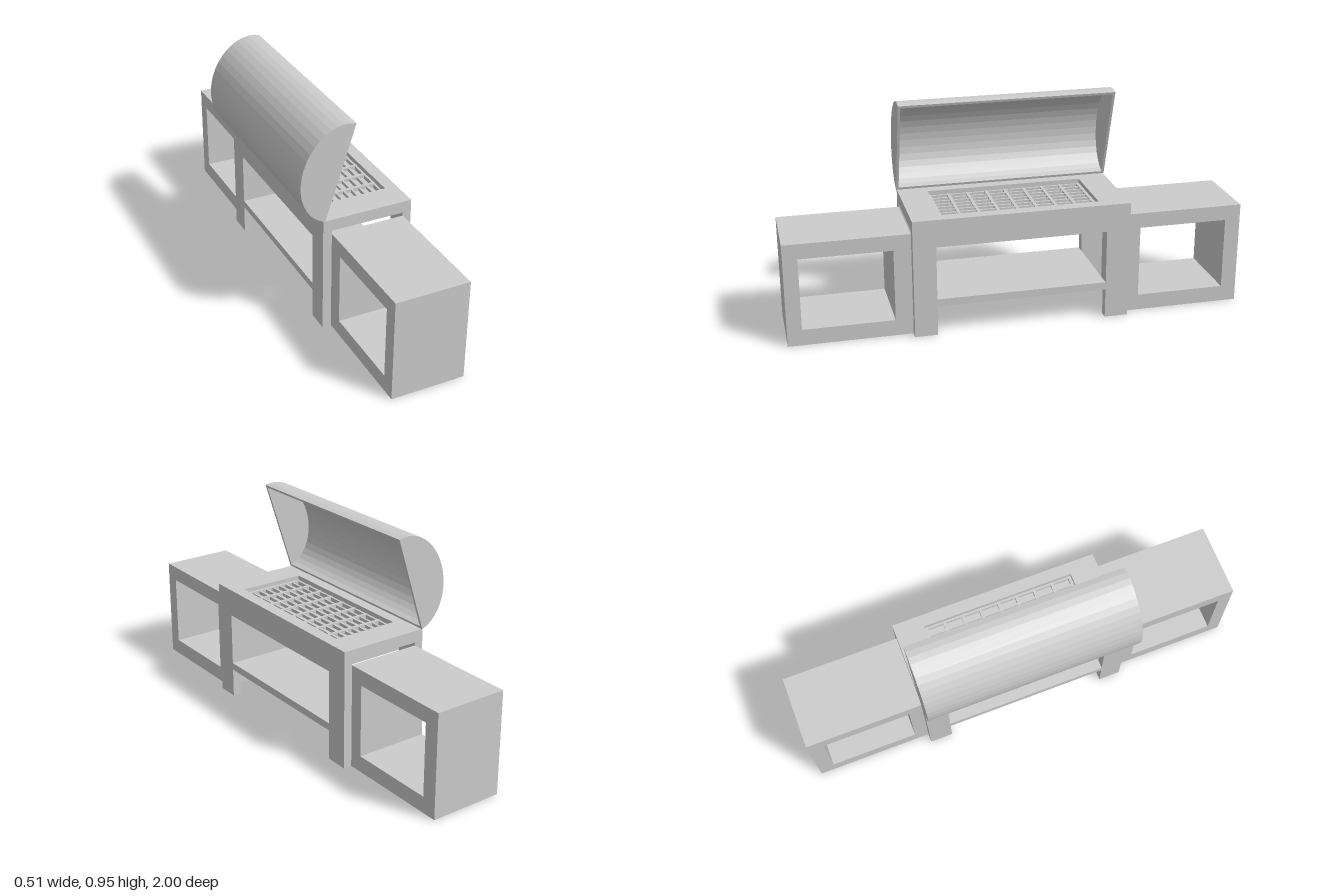
import * as THREE from 'three';

const mat = new THREE.MeshStandardMaterial({ color: 0xcccccc, flatShading: true });

function add(parent, name, geometry) {
  const mesh = new THREE.Mesh(geometry, mat);
  mesh.name = name;
  parent.add(mesh);
  return mesh;
}

// Box given by its limits on each axis
function block(parent, name, x0, x1, y0, y1, z0, z1) {
  const mesh = add(parent, name, new THREE.BoxGeometry(x1 - x0, y1 - y0, z1 - z0));
  mesh.position.set((x0 + x1) / 2, (y0 + y1) / 2, (z0 + z1) / 2);
  return mesh;
}

function rect(path, a0, a1, b0, b1) {
  path.moveTo(a0, b0);
  path.lineTo(a1, b0);
  path.lineTo(a1, b1);
  path.lineTo(a0, b1);
  path.closePath();
  return path;
}

// Rectangular plate with a rectangular hole, extruded along +z
function frame(outer, inner, depth) {
  const shape = rect(new THREE.Shape(), ...outer);
  shape.holes.push(rect(new THREE.Path(), ...inner));
  return new THREE.ExtrudeGeometry(shape, { depth, bevelEnabled: false });
}

// Points of the half-ellipse lid section, chord along y, bulging to -x
function arc(a, b, segments = 20) {
  return Array.from({ length: segments + 1 }, (_, i) => {
    const t = (i / segments) * Math.PI;
    return new THREE.Vector2(-b * Math.sin(t), a * Math.cos(t));
  });
}

export function createModel() {
  const model = new THREE.Group();
  const X0 = -0.154, X1 = 0.251;      // body width
  const IX0 = -0.115, IX1 = 0.213;    // between the legs, also side table width
  const Z0 = -0.477, Z1 = 0.468;      // body length
  const LZ0 = -0.374, LZ1 = 0.369;    // between the legs
  const TOP = 0.524, ARCH = 0.472;

  // Cooking body: rim around the recess, closed trough below it
  const body = new THREE.Group();
  body.name = 'body';
  model.add(body);
  const RX0 = -0.1, RX1 = 0.197, RZ0 = -0.349, RZ1 = 0.34;
  const rim = add(body, 'topRim', frame([X0, X1, -Z1, -Z0], [RX0, RX1, -RZ1, -RZ0], TOP - ARCH));
  rim.rotation.x = -Math.PI / 2;
  rim.position.y = ARCH;
  block(body, 'trough', X0, X1, 0.402, ARCH, LZ0, LZ1);

  // Four legs and the lower shelf
  for (const [x0, x1] of [[X0, IX0], [IX1, X1]])
    for (const [z0, z1] of [[Z0, LZ0], [LZ1, Z1]])
      block(body, 'leg', x0, x1, 0, ARCH, z0, z1);
  block(body, 'shelf', X0, X1, 0.132, 0.165, LZ0, LZ1);

  // Cooking grate: bars along the length and across
  const grate = new THREE.Group();
  grate.name = 'grate';
  model.add(grate);
  const columns = 8, rows = 8;
  for (let i = 0; i <= columns; i++) {
    const x = RX0 + 0.005 + (i / columns) * (RX1 - RX0 - 0.01);
    block(grate, 'longBar', x - 0.005, x + 0.005, 0.489, 0.503, RZ0, RZ1);
  }
  for (let i = 0; i <= rows; i++) {
    const z = RZ0 + 0.007 + (i / rows) * (RZ1 - RZ0 - 0.014);
    block(grate, 'crossBar', RX0, RX1, 0.49, 0.505, z - 0.007, z + 0.007);
  }

  // Side tables: box tubes open along x
  const tables = [[Z1, 1, 0.543, 0.937], [-1, -0.474, -0.932, -0.538]];
  for (const [z0, z1, h0, h1] of tables) {
    const table = add(model, 'sideTable',
      frame([-z1, -z0, 0, 0.457], [-h1, -h0, 0.071, 0.39], IX1 - IX0));
    table.rotation.y = Math.PI / 2;
    table.position.x = IX0;
  }

  // Open lid: curved shell with two end plates, tilted about its hinge edge
  const lid = new THREE.Group();
  lid.name = 'lid';
  const A = 0.2185, B = 0.17, WALL = 0.011, LZ = 0.953;
  const shell = new THREE.Shape([...arc(A, B), ...arc(A - WALL, B - WALL).reverse()]);
  const plate = new THREE.Shape(arc(A, B));
  const extrude = (shape, depth) =>
    new THREE.ExtrudeGeometry(shape, { depth, bevelEnabled: false });
  add(lid, 'lidShell', extrude(shell, LZ - 2 * WALL)).position.z = -LZ / 2 + WALL;
  for (const z of [-LZ / 2, LZ / 2 - WALL])
    add(lid, 'lidEnd', extrude(plate, WALL)).position.z = z;
  lid.position.set(-0.081, 0.733, -0.005);
  lid.rotation.z = -Math.atan2(0.133, 0.417);
  model.add(lid);

  return model;
}
